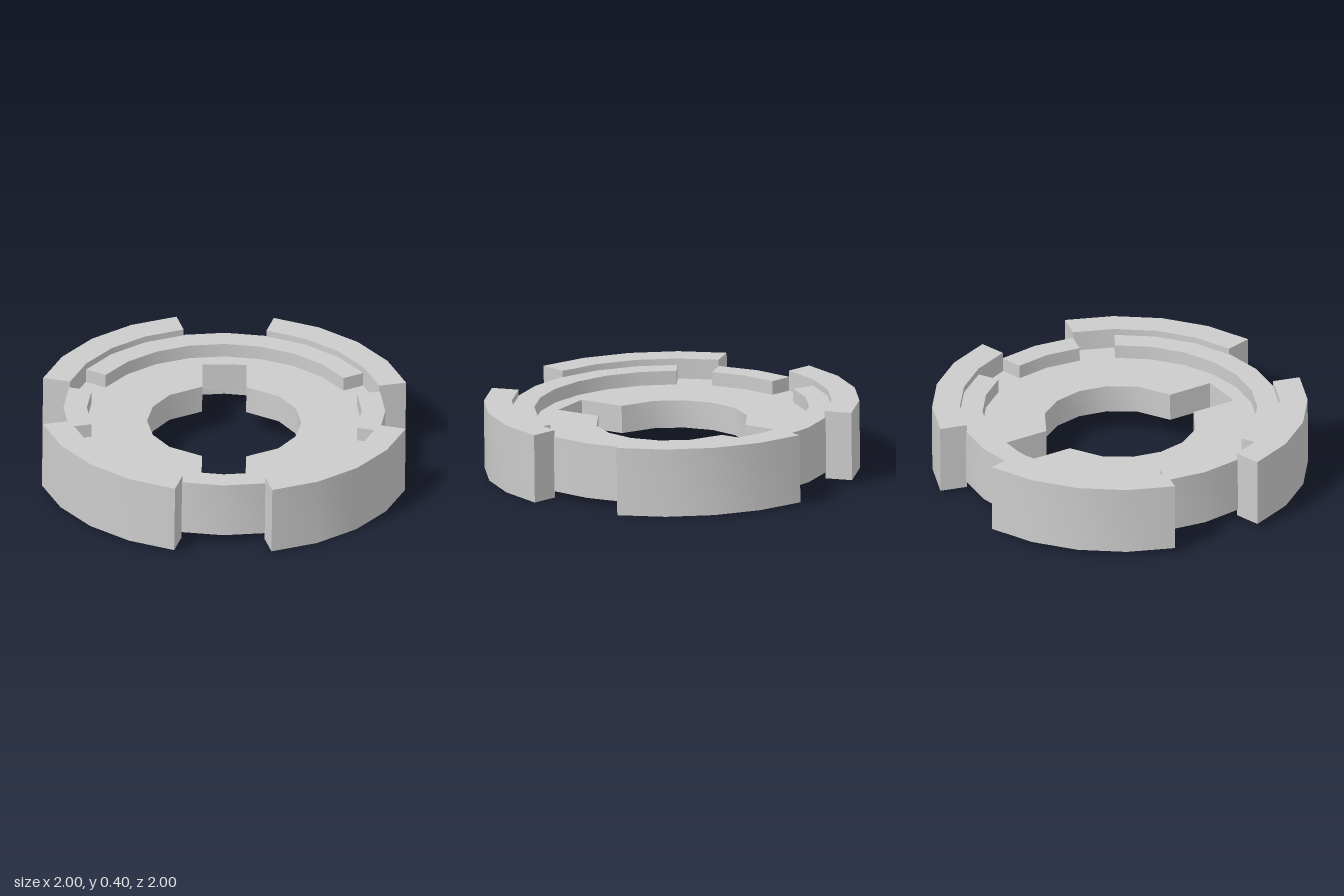
import * as THREE from 'three';
import { toCreasedNormals } from 'three/addons/utils/BufferGeometryUtils.js';

const STEP = 15; // degrees per facet of the outer circles
const material = new THREE.MeshStandardMaterial({ color: 0xcccccc });

// Point on a circle, angle in degrees, counter-clockwise seen from above
const polar = (r, deg) => {
  const a = THREE.MathUtils.degToRad(deg);
  return new THREE.Vector2(r * Math.cos(a), r * Math.sin(a));
};

// Faceted arc as a list of points
function arc(r, from, to, step = STEP) {
  const n = Math.round((to - from) / step);
  return Array.from({ length: n + 1 }, (_, i) => polar(r, from + ((to - from) * i) / n));
}

// Flat outline raised to a slab centred on y = 0
function slab(name, shape, height) {
  const flat = new THREE.ExtrudeGeometry(shape, { depth: height, bevelEnabled: false });
  flat.translate(0, 0, -height / 2);
  flat.rotateX(-Math.PI / 2);
  const mesh = new THREE.Mesh(toCreasedNormals(flat, THREE.MathUtils.degToRad(30)), material);
  mesh.name = name;
  return mesh;
}

// Curved bar between two radii and two angles
function curvedBar(name, inner, outer, from, to, height) {
  const outline = [...arc(outer, from, to), ...arc(inner, from, to).reverse()];
  return slab(name, new THREE.Shape(outline), height);
}

export function createModel() {
  const model = new THREE.Group();
  model.name = 'notchedRing';

  const ring = new THREE.Group();
  ring.name = 'ring';

  // Thin central plate with a round hole and two opposite square keyways
  const plate = new THREE.Shape(arc(0.852, 0, 360 - STEP));
  const hole = [];
  const half = 0.117, depth = 0.638;
  for (const turn of [0, 180]) {
    hole.push(...arc(0.41, turn, turn + 90, 22.5));
    const dir = polar(1, turn + 135);
    const side = polar(half, turn + 225);
    const mouth = Math.sqrt(0.405 ** 2 - half ** 2);
    for (const [d, s] of [[mouth, -1], [depth, -1], [depth, 1], [mouth, 1]]) {
      hole.push(dir.clone().multiplyScalar(d).addScaledVector(side, s));
    }
  }
  plate.holes.push(new THREE.Path(hole));
  ring.add(slab('centralPlate', plate, 0.15));

  // Raised ribs on both faces: a long and a short one, repeated opposite
  for (const turn of [0, 180]) {
    ring.add(curvedBar('longRib', 0.73, 0.855, turn + 75, turn + 195, 0.3));
    ring.add(curvedBar('shortRib', 0.73, 0.855, turn + 30, turn + 60, 0.3));
  }

  // Four tall outer blocks with gaps between them
  for (let i = 0; i < 4; i++) {
    ring.add(curvedBar('outerBlock', 0.85, 0.998, i * 90 - 30, i * 90 + 30, 0.37));
  }

  ring.rotation.y = THREE.MathUtils.degToRad(-2);

  // Slight tilt of the whole ring
  const tilt = new THREE.Group();
  tilt.name = 'tiltedRing';
  tilt.rotation.set(-0.005, 0, -0.0125);
  tilt.position.y = 0.199;
  tilt.add(ring);
  model.add(tilt);
  return model;
}
